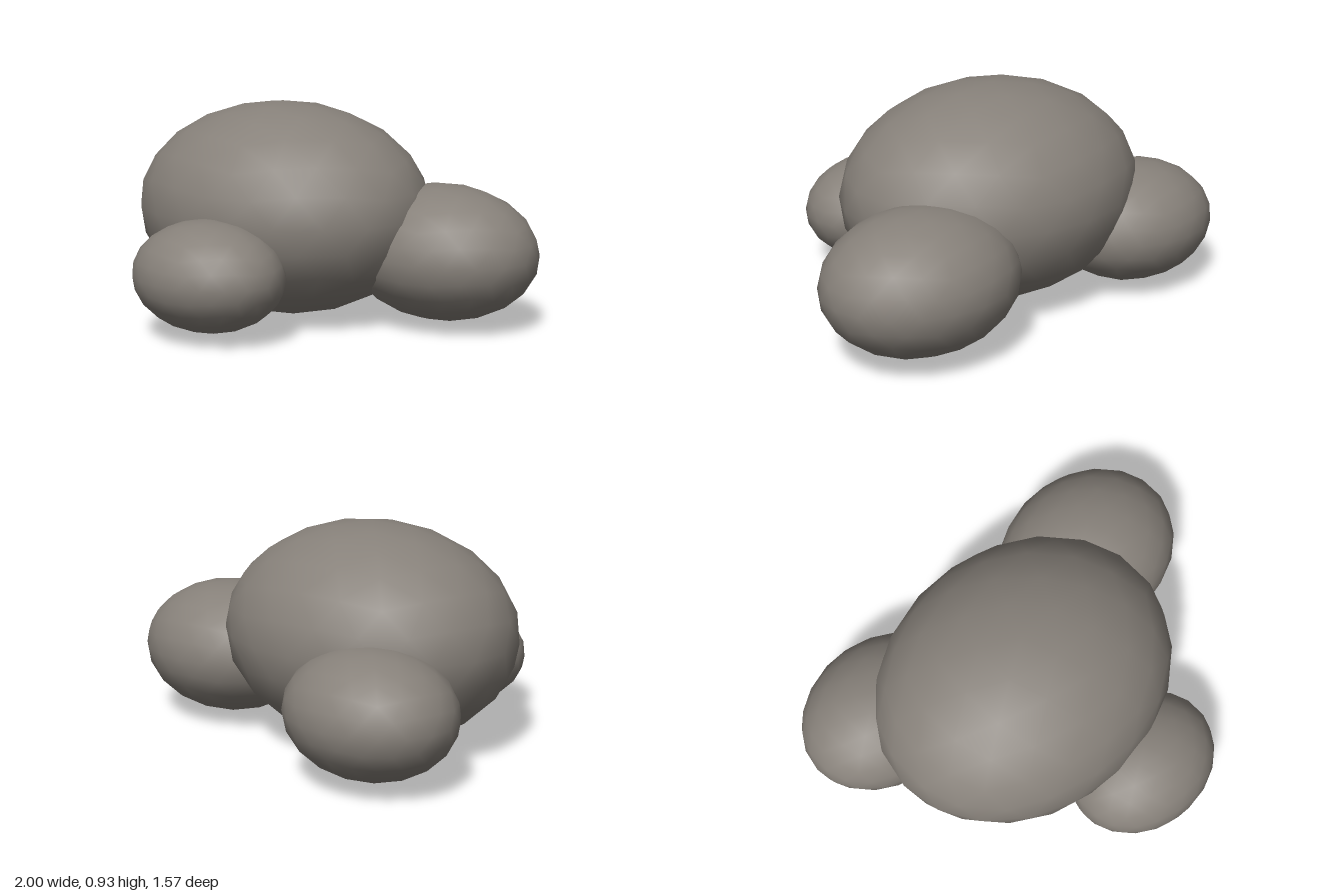
import * as THREE from 'three';

// Unit icosphere (320 faces), one vertex straight up, smooth normals
function icosphere() {
  const once = new THREE.IcosahedronGeometry(1, 1);
  const corners = Array.from(once.attributes.position.array);
  const order = corners.slice(0, corners.length / 3).map((_, i) => i);
  const sphere = new THREE.PolyhedronGeometry(corners, order, 1, 1);
  const golden = (1 + Math.sqrt(5)) / 2;
  return sphere.rotateZ(-Math.atan(1 / golden));
}

export function createModel() {
  const group = new THREE.Group();
  group.name = 'boulderCluster';

  const stone = new THREE.MeshStandardMaterial({ color: 0x87817a });
  stone.name = 'warm grey stone';
  const sphere = icosphere();

  // Every boulder has the same squashed proportions, 1.2 : 0.8 : 1
  const boulders = [
    { name: 'mainBoulder', size: 0.582, at: [-0.1, 0.47, -0.095] },
    { name: 'frontBoulder', size: 0.29, at: [0.05, 0.265, 0.49] },
    { name: 'backLeftBoulder', size: 0.363, at: [0.565, 0.317, -0.385] },
    { name: 'backRightBoulder', size: 0.325, at: [-0.61, 0.29, -0.46] },
  ];
  for (const { name, size, at } of boulders) {
    const boulder = new THREE.Mesh(sphere, stone);
    boulder.name = name;
    boulder.scale.set(1.2 * size, 0.8 * size, size);
    boulder.position.set(...at);
    group.add(boulder);
  }
  return group;
}
